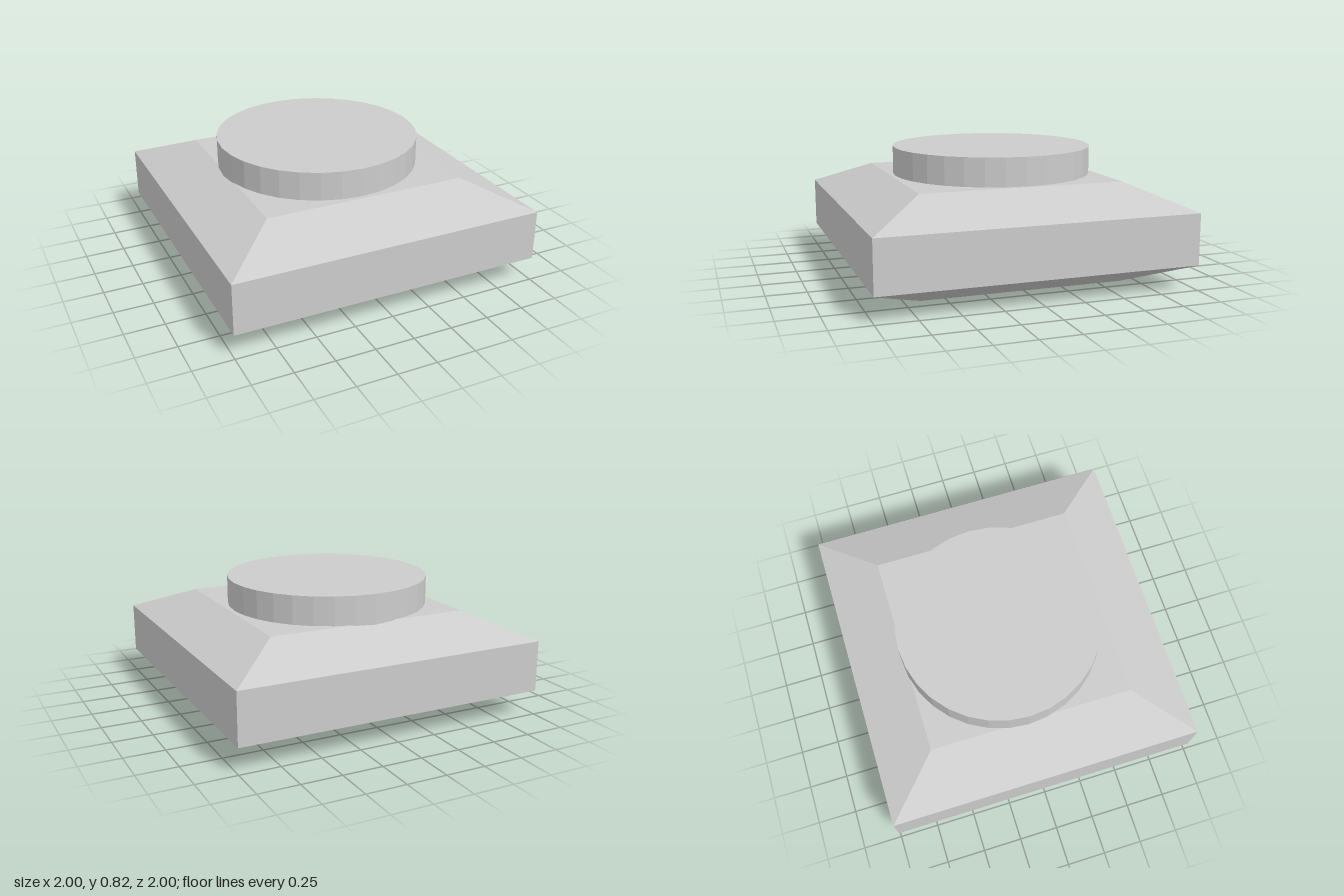
import * as THREE from 'three';

export function createModel() {
  const group = new THREE.Group();
  const material = new THREE.MeshStandardMaterial({ color: 0xcccccc, flatShading: true });

  // Square body with bevelled top and bottom: a four-sided lathe, [half width, height]
  const profile = [[0, 0], [0.65, 0], [1, 0.157], [1, 0.48], [0.65, 0.637], [0, 0.637]]
    .map(([half, y]) => new THREE.Vector2(half * Math.SQRT2, y));
  const body = new THREE.Mesh(new THREE.LatheGeometry(profile, 4, Math.PI / 4), material);
  body.name = 'body';
  group.add(body);

  // Round disc, slightly off centre, sunk into the top of the body
  const top = 0.817, bottom = 0.5;
  const disc = new THREE.Mesh(new THREE.CylinderGeometry(0.647, 0.647, top - bottom, 32), material);
  disc.name = 'topDisc';
  disc.position.set(-0.024, (top + bottom) / 2, -0.024);
  group.add(disc);

  return group;
}
